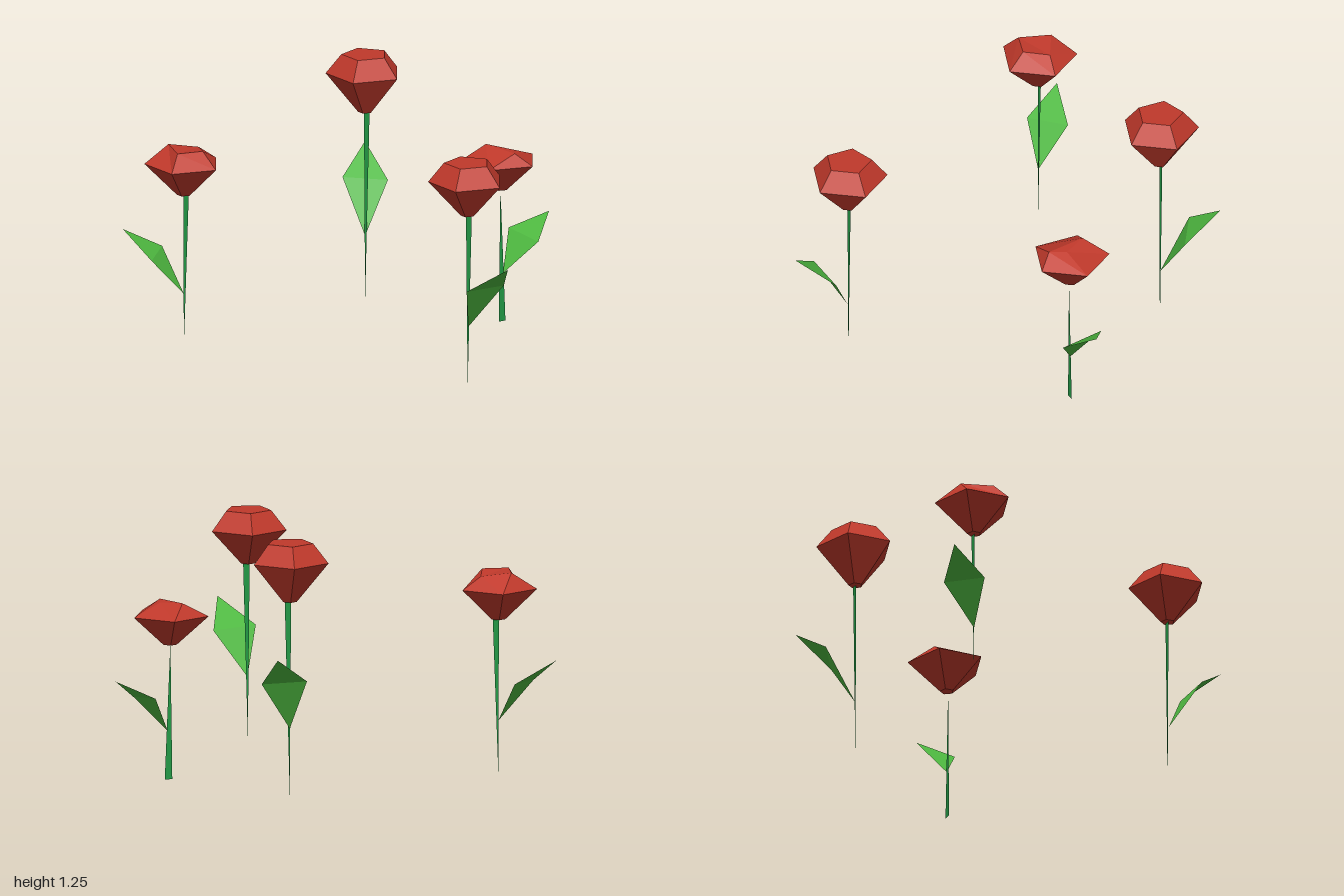
import * as THREE from 'three';

const red = new THREE.MeshStandardMaterial({ color: 0xc0392b, flatShading: true });
red.name = 'petal red';
const stemGreen = new THREE.MeshStandardMaterial({ color: 0x239b46, flatShading: true, side: THREE.DoubleSide });
stemGreen.name = 'stem green';
const leafGreen = new THREE.MeshStandardMaterial({ color: 0x4eb840, flatShading: true, side: THREE.DoubleSide });
leafGreen.name = 'leaf green';

// Mesh from a list of triangles, each made of three [x, y, z] points
function facets(name, triangles, material) {
  const geometry = new THREE.BufferGeometry();
  geometry.setAttribute('position', new THREE.Float32BufferAttribute(triangles.flat(2), 3));
  geometry.computeVertexNormals();
  const mesh = new THREE.Mesh(geometry, material);
  mesh.name = name;
  return mesh;
}

// Five points around the stem, the first one towards +x
function ring(x, y, z, r) {
  return Array.from({ length: 5 }, (_, i) => {
    const a = (i * Math.PI * 2) / 5;
    return [x + r * Math.cos(a), y, z + r * Math.sin(a)];
  });
}

// Closed five-sided bloom skinned over rings from bottom to top
function bloom(rings) {
  const tris = [];
  for (let k = 0; k < rings.length - 1; k++) {
    for (let i = 0; i < 5; i++) {
      const j = (i + 1) % 5, a = rings[k], b = rings[k + 1];
      tris.push([a[i], b[i], b[j]], [a[i], b[j], a[j]]);
    }
  }
  const low = rings[0], top = rings[rings.length - 1];
  for (let i = 1; i < 4; i++) {
    tris.push([low[0], low[i], low[i + 1]], [top[0], top[i + 1], top[i]]);
  }
  const same = (p, q) => p.every((v, n) => v === q[n]);
  const solid = tris.filter(([p, q, r]) => !same(p, q) && !same(q, r) && !same(p, r));
  return facets('bloom', solid, red);
}

// Kite leaf folded across its widest line
function leaf([base, left, right, tip]) {
  return facets('leaf', [[base, right, left], [left, right, tip]], leafGreen);
}

// x, z: stem position; low, mid, high: bloom heights; crown: uneven top ring
const flowers = [
  {
    name: 'frontFlower', x: -0.08, z: 0.695, low: 0.86, mid: 1.03, high: 1.125,
    stem: [[-0.08, 0, 0.695], [-0.055, 0.87, 0.695], [-0.09, 0.87, 0.695]],
    leaf: [[-0.08, 0.3, 0.7], [-0.185, 0.525, 0.83], [0.045, 0.515, 0.82], [-0.055, 0.65, 0.99]],
  },
  {
    name: 'backFlower', x: 0.37, z: -0.76, low: 0.96, mid: 1.155, high: 1.25,
    stem: [[0.37, 0, -0.76], [0.397, 0.97, -0.76], [0.363, 0.97, -0.76]],
    leaf: [[0.37, 0.335, -0.76], [0.355, 0.595, -0.925], [0.543, 0.575, -0.81], [0.545, 0.725, -1]],
  },
  {
    name: 'rightFlower', x: -0.785, z: -0.665, low: 0.765, mid: 0.92,
    crown: [[-0.685, 0.985, -0.68], [-0.745, 1.0, -0.565], [-0.87, 1.0, -0.6],
      [-0.815, 1.005, -0.75], [-0.815, 1.005, -0.75]],
    stem: [[-0.785, 0, -0.665], [-0.755, 0.775, -0.665], [-0.788, 0.775, -0.665]],
    leaf: [[-0.785, 0.265, -0.665], [-0.96, 0.455, -0.69], [-0.795, 0.47, -0.83], [-1, 0.58, -0.87]],
  },
  {
    name: 'leftFlower', x: 0.71, z: -0.115, low: 0.665, mid: 0.81,
    crown: [[0.745, 0.868, -0.08], [0.71, 0.87, 0], [0.71, 0.87, 0],
      [0.68, 0.878, -0.195], [0.68, 0.878, -0.195]],
    stem: [[0.695, 0, -0.11], [0.735, 0, -0.11], [0.705, 0.675, -0.11]],
    leaf: [[0.72, 0.24, -0.11], [0.835, 0.425, -0.22], [0.855, 0.4, -0.005], [1, 0.505, -0.115]],
  },
];

export function createModel() {
  const model = new THREE.Group();
  model.name = 'flowers';
  for (const f of flowers) {
    const flower = new THREE.Group();
    flower.name = f.name;
    flower.add(
      facets('stem', [f.stem], stemGreen),
      leaf(f.leaf),
      bloom([
        ring(f.x, f.low, f.z, 0.034),
        ring(f.x, f.mid, f.z, 0.191),
        f.crown || ring(f.x, f.high, f.z, 0.115),
      ]),
    );
    model.add(flower);
  }
  return model;
}
